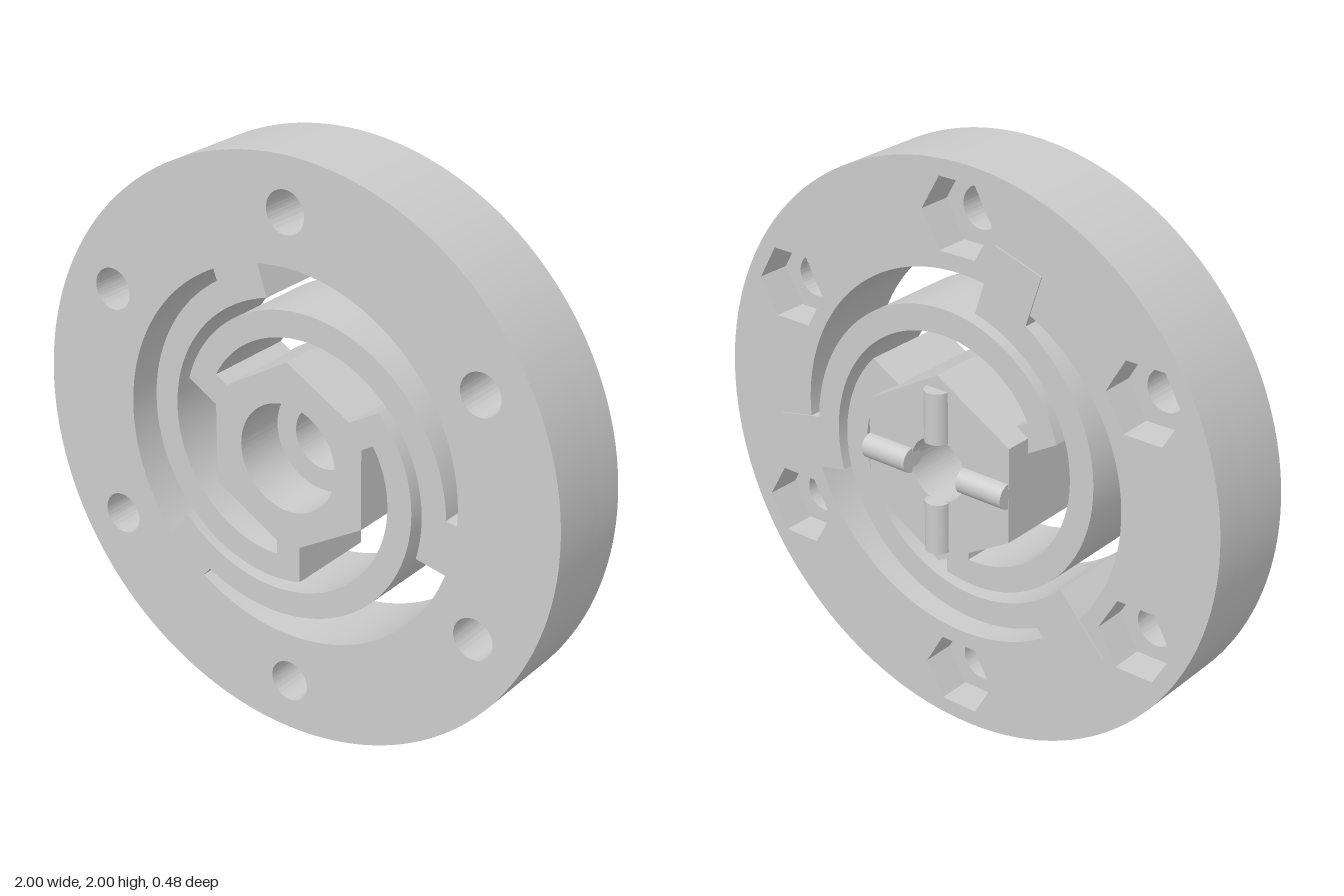
import * as THREE from 'three';
import { toCreasedNormals } from 'three/addons/utils/BufferGeometryUtils.js';

const FRONT = 0.24, BACK = -0.095, BOLT_R = 0.82;
const rad = THREE.MathUtils.degToRad;
const material = new THREE.MeshStandardMaterial({ color: 0xcccccc });

function addMesh(parent, name, geometry) {
  const mesh = new THREE.Mesh(geometry, material);
  mesh.name = name;
  parent.add(mesh);
  return mesh;
}

// Extrude a flat outline between two depths, smooth on curves and sharp on edges
function slab(shape, z0, z1) {
  const geo = new THREE.ExtrudeGeometry(shape, { depth: z1 - z0, bevelEnabled: false, curveSegments: 96 });
  geo.translate(0, 0, z0);
  return toCreasedNormals(geo, 0.5);
}

function circle(Type, r, x = 0, y = 0) {
  const path = new Type();
  path.absarc(x, y, r, 0, Math.PI * 2, false);
  return path;
}

function hexagon(Type, r, startDeg, x = 0, y = 0) {
  const pts = [];
  for (let i = 0; i < 6; i++) {
    const a = rad(startDeg + i * 60);
    pts.push(new THREE.Vector2(x + r * Math.cos(a), y + r * Math.sin(a)));
  }
  const path = new Type(pts);
  path.closePath();
  return path;
}

// Outer ring slab with six openings made by the given function
function ringShape(opening) {
  const shape = circle(THREE.Shape, 1);
  shape.holes.push(circle(THREE.Path, 0.643));
  for (let i = 0; i < 6; i++) {
    const a = rad(30 + i * 60);
    shape.holes.push(opening(BOLT_R * Math.cos(a), BOLT_R * Math.sin(a)));
  }
  return shape;
}

// Spiral spring arm: hub stub, clockwise spiral band, block rooted in the ring
function armShape() {
  const outerR = deg => 0.433 + (156 - deg) * 0.00107;
  const polar = (r, deg) => new THREE.Vector2(r * Math.cos(rad(deg)), r * Math.sin(rad(deg)));
  const along = (dirDeg, dist, side) => polar(dist, dirDeg).add(polar(side, dirDeg + 90));
  const pts = [];
  const n = 60;
  for (let i = 0; i <= n; i++) {
    const d = THREE.MathUtils.lerp(156, -3.3, i / n);
    pts.push(polar(outerR(d), d));
  }
  pts.push(along(-12, 0.78, 0.092), along(-12, 0.78, -0.092));
  for (let i = 0; i <= n; i++) {
    const d = THREE.MathUtils.lerp(-22, 142.5, i / n);
    pts.push(polar(outerR(d) - 0.09, d));
  }
  pts.push(along(150, 0.24, -0.046), along(150, 0.24, 0.046));
  return new THREE.Shape(pts);
}

export function createModel() {
  const model = new THREE.Group();
  model.name = 'flexureCoupling';
  model.position.y = 1;

  // Outer ring: round bolt holes in front, hexagonal nut pockets behind
  const ring = new THREE.Group();
  ring.name = 'outerRing';
  const pocketFloor = BACK + 0.12;
  addMesh(ring, 'ringFront', slab(ringShape((x, y) => circle(THREE.Path, 0.072, x, y)), pocketFloor, FRONT));
  addMesh(ring, 'ringBack', slab(ringShape((x, y) => hexagon(THREE.Path, 0.14, 0, x, y)), BACK, pocketFloor));
  model.add(ring);

  // Hexagonal hub with a wide front recess and a narrower through bore
  const hub = new THREE.Group();
  hub.name = 'hub';
  const hubBack = -0.195, recessFloor = 0.05;
  const hubShape = bore => {
    const s = hexagon(THREE.Shape, 0.331, 30);
    s.holes.push(circle(THREE.Path, bore));
    return s;
  };
  addMesh(hub, 'hubFront', slab(hubShape(0.186), recessFloor, FRONT));
  addMesh(hub, 'hubBack', slab(hubShape(0.11), hubBack, recessFloor));

  // Cross of four rounded ribs on the back of the hub
  for (let i = 0; i < 4; i++) {
    const geo = new THREE.CylinderGeometry(0.043, 0.043, 0.178, 32);
    geo.translate(0, 0.196, hubBack);
    addMesh(hub, 'hubRib', geo).rotation.z = i * Math.PI / 2;
  }
  model.add(hub);

  // Three spiral arms, standing very slightly proud of the ring's back
  const armGeo = slab(armShape(), BACK - 0.004, FRONT);
  for (let i = 0; i < 3; i++) {
    addMesh(model, 'spiralArm', armGeo).rotation.z = i * Math.PI * 2 / 3;
  }

  const root = new THREE.Group();
  root.name = 'model';
  root.add(model);
  return root;
}
